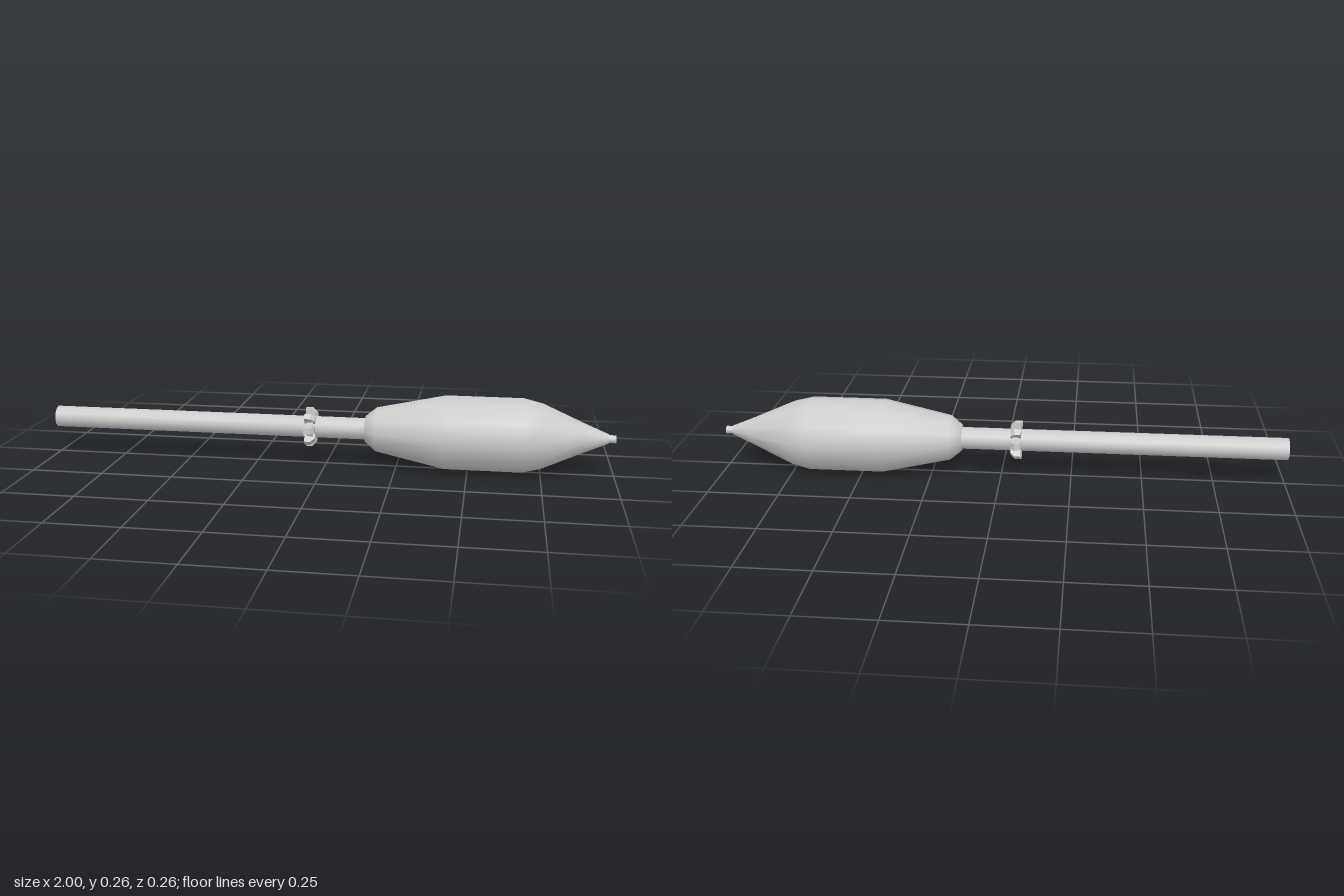
import * as THREE from 'three';

const SIDES = 12;
const AXIS_Y = 0.132;

export function createModel() {
  const group = new THREE.Group();
  const material = new THREE.MeshStandardMaterial({ color: 0xcccccc });

  const add = (name, geometry, parent = group) => {
    const mesh = new THREE.Mesh(geometry, material);
    mesh.name = name;
    parent.add(mesh);
    return mesh;
  };

  // Round bar along x from x0 to x1
  const bar = (name, x0, x1, radius, parent) => {
    const geometry = new THREE.CylinderGeometry(radius, radius, x1 - x0, SIDES);
    geometry.rotateZ(-Math.PI / 2).translate((x0 + x1) / 2, 0, 0);
    return add(name, geometry, parent);
  };

  // Long rear tube
  bar('shaft', -1, 0.16, 0.039);

  // Swollen body tapering to the nose: [radius, x]
  const profile = [
    [0.038, 0.14], [0.047, 0.14], [0.08, 0.18], [0.132, 0.42], [0.132, 0.685],
    [0.116, 0.75], [0.053, 0.89], [0.017, 0.975],
  ].map(([r, x]) => new THREE.Vector2(r, x));
  add('body', new THREE.LatheGeometry(profile, SIDES).rotateZ(-Math.PI / 2));

  // Small blunt nose
  bar('noseTip', 0.97, 1, 0.014);

  // Collar with chamfered teeth standing around the shaft
  const collar = new THREE.Group();
  collar.name = 'collar';
  group.add(collar);
  bar('collarBand', -0.064, -0.042, 0.048, collar);

  const toothShape = new THREE.Shape([
    [-0.072, 0.034], [-0.035, 0.034], [-0.035, 0.054], [-0.05, 0.069], [-0.072, 0.069],
  ].map(([x, r]) => new THREE.Vector2(x, r)));
  const width = 0.022;
  const tooth = new THREE.ExtrudeGeometry(toothShape, { depth: width, bevelEnabled: false });
  tooth.translate(0, 0, -width / 2);
  for (let i = 0; i < 8; i++) {
    add('collarTooth', tooth, collar).rotation.x = (i * Math.PI) / 4;
  }

  group.children.forEach((part) => { part.position.y = AXIS_Y; });
  return group;
}
